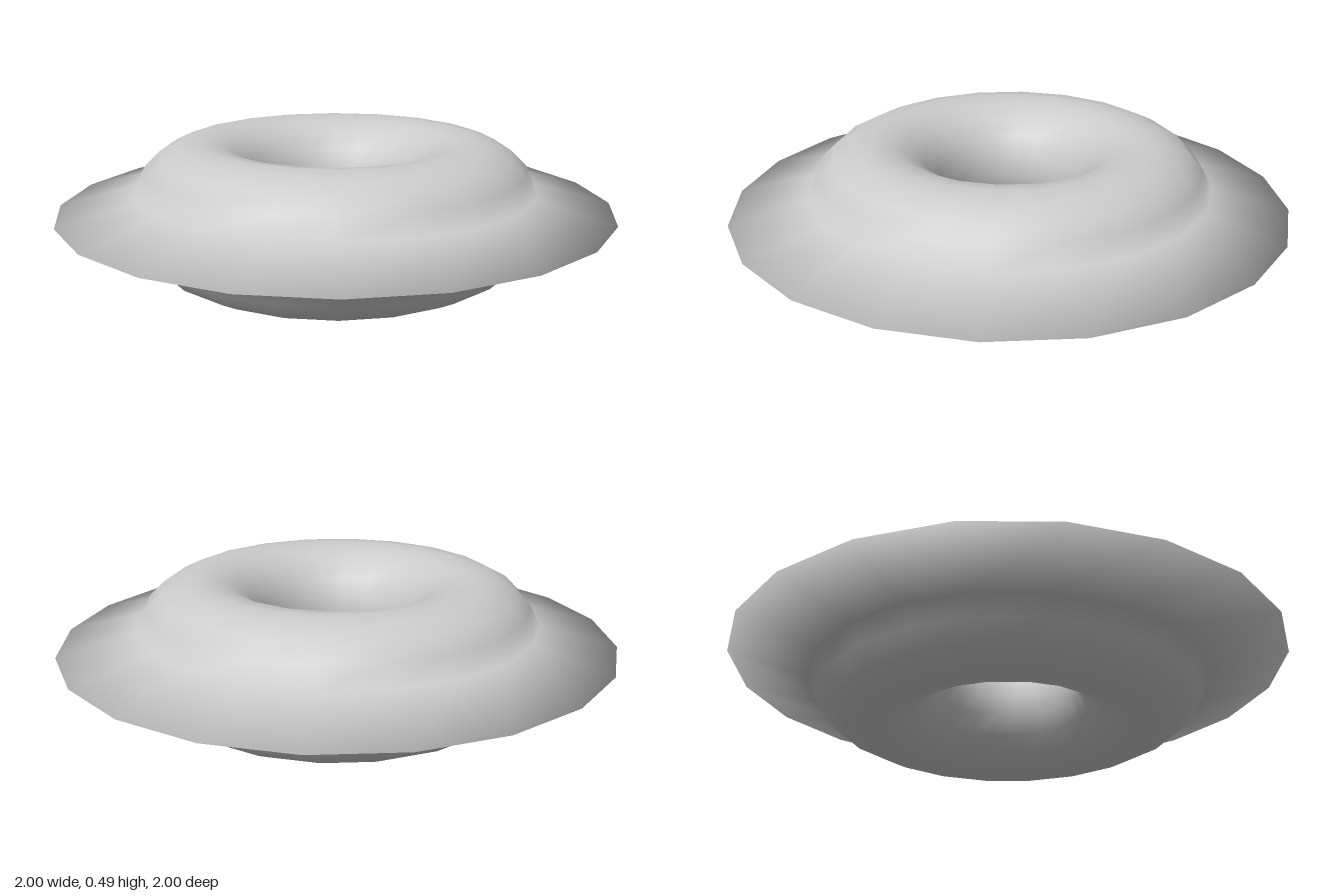
import * as THREE from 'three';
import { mergeVertices } from 'three/addons/utils/BufferGeometryUtils.js';

const RING = 0.49;   // radius of the ring's centre line
const TUBE = 0.245;  // radius of the tube
const RIM = 1;       // radius of the sharp outer edge

export function createModel() {
  const group = new THREE.Group();
  group.name = 'bladedRing';

  // ring lying flat, 20 sides both ways
  let geometry = new THREE.TorusGeometry(RING, TUBE, 20, 20);
  geometry.rotateX(-Math.PI / 2);

  // pull the outermost loop out into a thin blade
  const pos = geometry.attributes.position;
  for (let i = 0; i < pos.count; i++) {
    const r = Math.hypot(pos.getX(i), pos.getZ(i));
    if (r > RING + TUBE * 0.99) {
      pos.setX(i, pos.getX(i) * RIM / r);
      pos.setZ(i, pos.getZ(i) * RIM / r);
    }
  }
  geometry.translate(0, TUBE, 0);

  // weld the seams so the whole surface is smooth
  geometry.deleteAttribute('uv');
  geometry.deleteAttribute('normal');
  geometry = mergeVertices(geometry);
  geometry.computeVertexNormals();

  const ring = new THREE.Mesh(geometry, new THREE.MeshStandardMaterial({ color: 0xcccccc }));
  ring.name = 'ringWithBlade';
  group.add(ring);
  return group;
}
